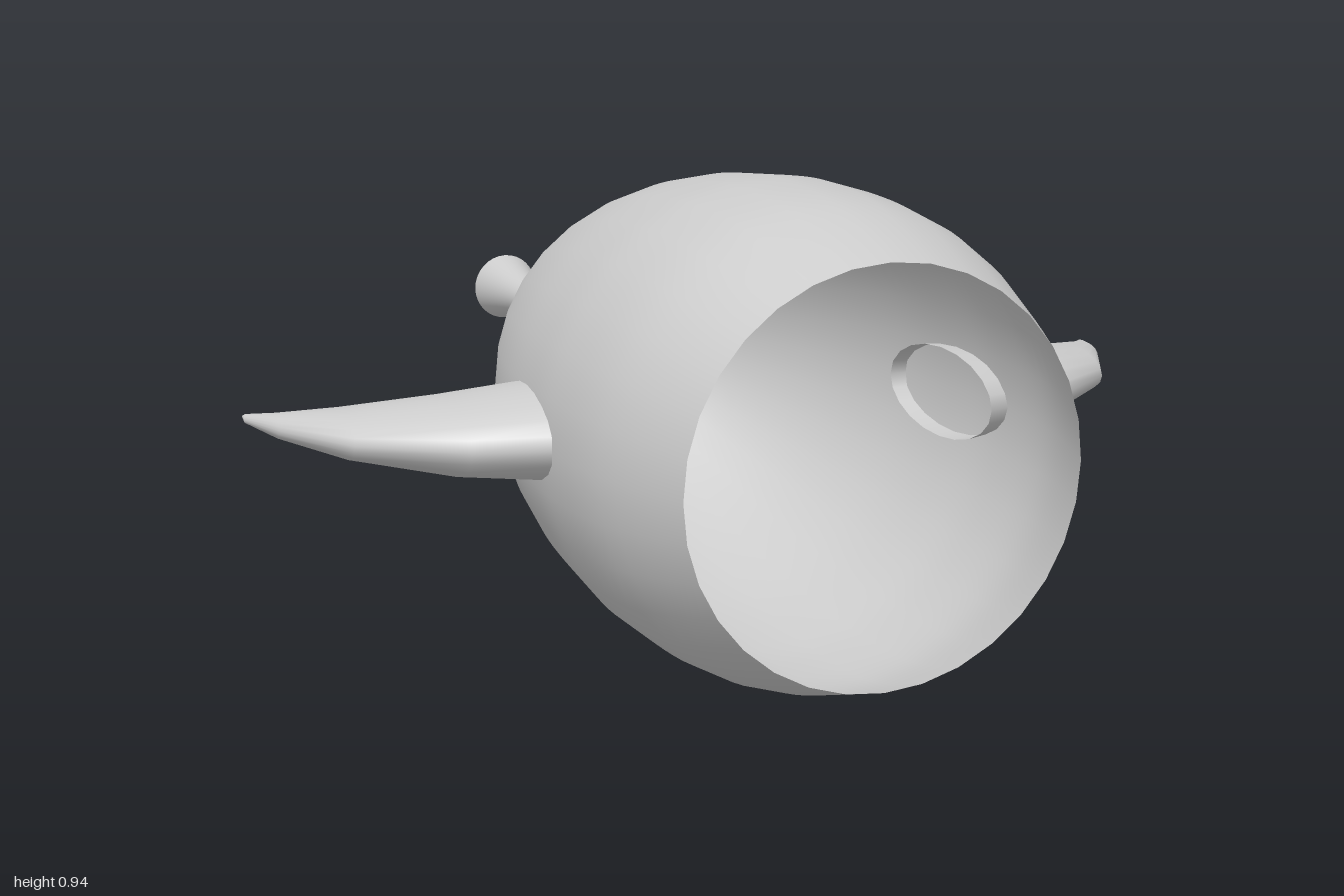
import * as THREE from 'three';

const AXIS_Y = 0.47;
const material = new THREE.MeshStandardMaterial({ color: 0xcccccc, side: THREE.DoubleSide });

// Hollow body: a smooth radius profile turned around the z axis, open at both ends
function makeBody() {
  const profile = [
    [0.075, -1], [0.045, -0.86], [0.033, -0.72], [0.055, -0.6], [0.105, -0.5], [0.168, -0.4],
    [0.285, -0.2], [0.372, 0], [0.432, 0.22], [0.46, 0.42], [0.468, 0.58], [0.452, 0.78], [0.385, 1],
  ].map(([r, z]) => new THREE.Vector2(r, z));
  const geometry = new THREE.LatheGeometry(new THREE.SplineCurve(profile).getPoints(60), 32);
  geometry.rotateX(Math.PI / 2);
  const body = new THREE.Mesh(geometry, material);
  body.name = 'body';
  body.position.y = AXIS_Y;
  return body;
}

// Swept-back fin: elliptical rings between a leading and a trailing edge, open at the root
function makeFin(side, name) {
  // leading x, z; trailing x, z; half thickness
  const rings = [
    [0.425, 0.602, 0.4, 0.226, 0.09],
    [0.605, 0.546, 0.59, 0.236, 0.072],
    [0.785, 0.412, 0.76, 0.197, 0.045],
    [0.88, 0.238, 0.865, 0.153, 0.023],
    [0.918, 0.128, 0.908, 0.102, 0.008],
    [0.914, 0.096, 0.913, 0.095, 0.001],
  ];
  const n = 20;
  const positions = [];
  const index = [];
  rings.forEach(([lx, lz, tx, tz, h], i) => {
    for (let j = 0; j < n; j++) {
      const a = (j / n) * Math.PI * 2;
      const t = (1 + Math.cos(a)) / 2;
      positions.push(side * (tx + (lx - tx) * t), h * Math.sin(a), tz + (lz - tz) * t);
      if (i === rings.length - 1) continue;
      const p = i * n + j, q = i * n + (j + 1) % n;
      if (side > 0) index.push(p, p + n, q, q, p + n, q + n);
      else index.push(p, q, p + n, q, q + n, p + n);
    }
  });
  const geometry = new THREE.BufferGeometry();
  geometry.setAttribute('position', new THREE.Float32BufferAttribute(positions, 3));
  geometry.setIndex(index);
  geometry.computeVertexNormals();
  const fin = new THREE.Mesh(geometry, material);
  fin.name = name;
  fin.position.y = AXIS_Y + 0.002;
  return fin;
}

export function createModel() {
  const model = new THREE.Group();
  model.name = 'finnedVessel';
  model.add(makeBody(), makeFin(1, 'leftFin'), makeFin(-1, 'rightFin'));
  return model;
}
